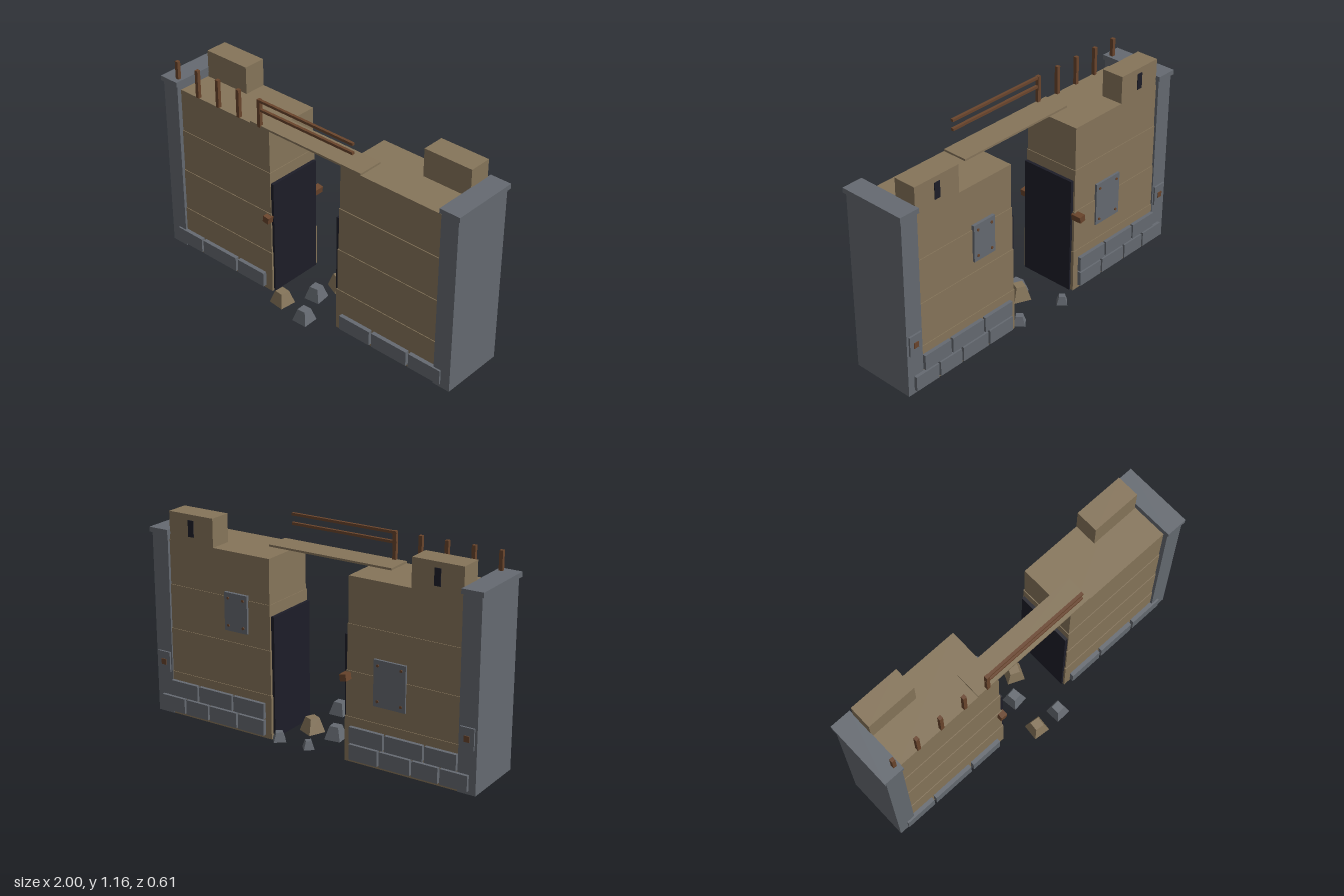
import * as THREE from 'three';

const mat = (name, color) => {
  const m = new THREE.MeshStandardMaterial({ color });
  m.name = name;
  return m;
};

export function createModel() {
  const root = new THREE.Group();
  root.name = 'ruinedGate';
  const sand = mat('sandstone', 0x86755a);
  const stone = mat('greyStone', 0x656a71);
  const wood = mat('rustyWood', 0x6a452c);
  const dark = mat('darkOpening', 0x1d1d28);

  // Box given by its limits on each axis
  const box = (parent, name, material, [x0, x1], [y0, y1], [z0, z1]) => {
    const g = new THREE.BoxGeometry(Math.abs(x1 - x0), y1 - y0, z1 - z0);
    const m = new THREE.Mesh(g, material);
    m.position.set((x0 + x1) / 2, (y0 + y1) / 2, (z0 + z1) / 2);
    m.name = name;
    parent.add(m);
    return m;
  };

  // Parts shared by both wings; s is the side of the gate
  const wing = (s) => {
    const g = new THREE.Group();
    g.name = s > 0 ? 'leftWing' : 'rightWing';
    root.add(g);
    const span = (a, b) => [s * a, s * b];

    // Wall tiers, each slightly smaller than the one below
    for (let i = 0; i < 4; i++) {
      const t = i * 0.004;
      box(g, 'wallTier', sand, span(0.229 + t, 0.89), [0.01 + i * 0.2475, 0.01 + (i + 1) * 0.2475],
        [-0.196 + t, 0.157 - t]);
    }
    // Corner pillar with cap
    box(g, 'pillar', stone, span(0.886, 0.988), [0.01, 1.03], [-0.2, 0.17]);
    box(g, 'pillarCap', stone, span(0.88, 1), [1.03, 1.057], [-0.21, 0.18]);
    // Dark panel on the inner face
    box(g, 'innerPanel', dark, span(0.218, 0.236), [0.012, 0.69], [-0.178, 0.145]);
    // Turret with a slit in its back
    box(g, 'turret', sand, span(0.597, 0.882), [1, 1.156], [-0.184, -0.055]);
    box(g, 'turretSlit', dark, span(0.722, 0.757), [1.035, 1.125], [-0.188, -0.18]);
    // Bracket on the back of the pillar
    box(g, 'pillarBracket', stone, span(0.895, 0.975), [0.25, 0.365], [-0.21, -0.19]);
    box(g, 'bracketBolt', wood, span(0.92, 0.95), [0.29, 0.322], [-0.214, -0.2]);

    // Footing blocks: one row in front, two at the back
    const front = s > 0
      ? [[0.27, 0.473], [0.488, 0.716], [0.732, 0.932]]
      : [[0.275, 0.468], [0.484, 0.736], [0.75, 0.935]];
    for (const [a, b] of front) box(g, 'frontFooting', stone, span(a, b), [0.03, 0.115], [0.14, 0.18]);
    const row = (cuts, y, z) => {
      for (let i = 0; i < cuts.length - 1; i++)
        box(g, 'backFooting', stone, span(cuts[i] + 0.006, cuts[i + 1] - 0.006), y, [z, -0.18]);
    };
    row([0.26, 0.44, 0.63, 0.79, 0.955], [0.03, 0.115], -0.218);
    row([0.26, 0.47, 0.7, 0.89], [0.123, 0.21], -0.216);
  };
  wing(1);
  wing(-1);

  // Riveted repair plates on the back
  const plate = (x, y, w, h) => {
    box(root, 'repairPlate', stone, [x - w / 2, x + w / 2], [y - h / 2, y + h / 2], [-0.201, -0.18]);
    for (const i of [-1, 1]) for (const j of [-1, 1]) {
      const rivet = new THREE.Mesh(new THREE.CylinderGeometry(0.008, 0.008, 0.012, 6), wood);
      rivet.rotation.x = Math.PI / 2;
      rivet.position.set(x + i * (w / 2 - 0.025), y + j * (h / 2 - 0.03), -0.2);
      rivet.name = 'rivet';
      root.add(rivet);
    }
  };
  plate(0.446, 0.675, 0.145, 0.21);
  plate(-0.492, 0.475, 0.185, 0.25);

  // Tilted beam through the wall
  const beam = box(root, 'crossBeam', wood, [-0.263, -0.225], [0.46, 0.497], [-0.24, 0.183]);
  beam.rotation.z = -0.15;

  // Walkway plank with posts and two handrails
  box(root, 'walkwayPlank', sand, [-0.375, 0.372], [1, 1.011], [-0.002, 0.145]);
  for (let i = 0; i < 5; i++) {
    const x = -0.907 + i * 0.1495;
    box(root, 'railPost', wood, [x - 0.01, x + 0.01], [1, 1.16], [0.129, 0.149]);
  }
  for (const y of [1.101, 1.152])
    box(root, 'handrail', wood, [-0.32, 0.318], [y - 0.007, y + 0.007], [0.131, 0.147]);

  // Rubble: square blocks tapering upwards [x, y, z, base, height, turn, material]
  const rubble = [
    [-0.067, 0.073, 0.25, 0.094, 0.072, -0.1, sand],
    [0.09, 0.037, 0.25, 0.09, 0.07, 0.03, stone],
    [0.056, 0.055, -0.068, 0.098, 0.08, -0.42, sand],
    [-0.028, 0, 0.028, 0.092, 0.073, 0.12, stone],
    [0.185, 0.015, -0.188, 0.066, 0.05, 0.7, stone],
    [-0.056, 0.06, -0.27, 0.056, 0.045, 0.75, stone],
  ];
  for (const [x, y, z, base, h, turn, material] of rubble) {
    const r = base * Math.SQRT1_2;
    const geo = new THREE.CylinderGeometry(r * 0.55, r, h, 4).toNonIndexed();
    geo.rotateY(Math.PI / 4);
    geo.computeVertexNormals();
    const m = new THREE.Mesh(geo, material);
    m.position.set(x, y + h / 2, z);
    m.rotation.y = turn;
    m.name = 'rubble';
    root.add(m);
  }
  return root;
}
